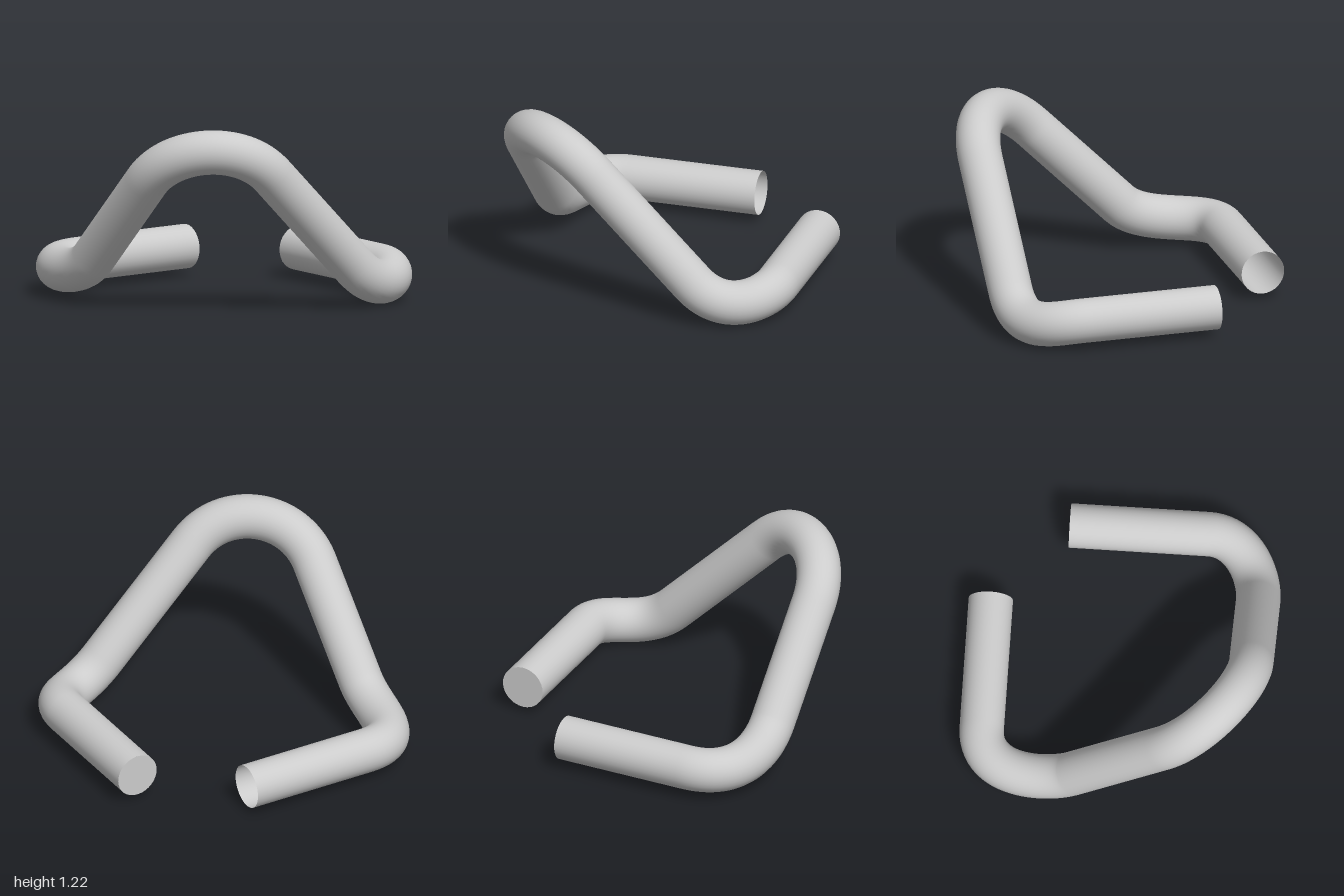
import * as THREE from 'three';

const RADIUS = 0.141;
const v = (x, y, z) => new THREE.Vector3(x, y, z);

export function createModel() {
  const group = new THREE.Group();
  group.name = 'bentPipe';
  const material = new THREE.MeshStandardMaterial({ color: 0xcccccc, side: THREE.DoubleSide });

  // Each bend: start, two handles, end. Straight runs join them.
  const start = v(-0.848, 0.18, -0.33);
  const end = v(-0.38, 0.18, -0.859);
  const bends = [
    // low front corner, turning into the climb
    [v(-0.848, 0.18, 0.54), v(-0.848, 0.18, 0.875), v(-0.42, 0.13, 0.852), v(-0.25, 0.3, 0.852)],
    // high arch over the opposite corner
    [v(0.32, 0.87, 0.852), v(0.57, 1.12, 0.852), v(0.845, 1.165, 0.5), v(0.845, 0.915, 0.25)],
    // low back corner, levelling out
    [v(0.845, 0.265, -0.4), v(0.845, 0.045, -0.62), v(0.74, 0.18, -0.859), v(0.5, 0.18, -0.859)],
  ];

  const path = new THREE.CurvePath();
  let last = start;
  for (const b of bends) {
    path.add(new THREE.LineCurve3(last, b[0]));
    path.add(new THREE.CubicBezierCurve3(...b));
    last = b[3];
  }
  path.add(new THREE.LineCurve3(last, end));

  // Thin-walled pipe, open at the start
  const pipe = new THREE.Mesh(new THREE.TubeGeometry(path, 200, RADIUS, 32, false), material);
  pipe.name = 'pipe';
  group.add(pipe);

  // Flat cap on the back end
  const cap = new THREE.Mesh(new THREE.CircleGeometry(RADIUS, 32), material);
  cap.name = 'endCap';
  cap.position.copy(end);
  cap.rotation.y = -Math.PI / 2;
  group.add(cap);

  return group;
}
